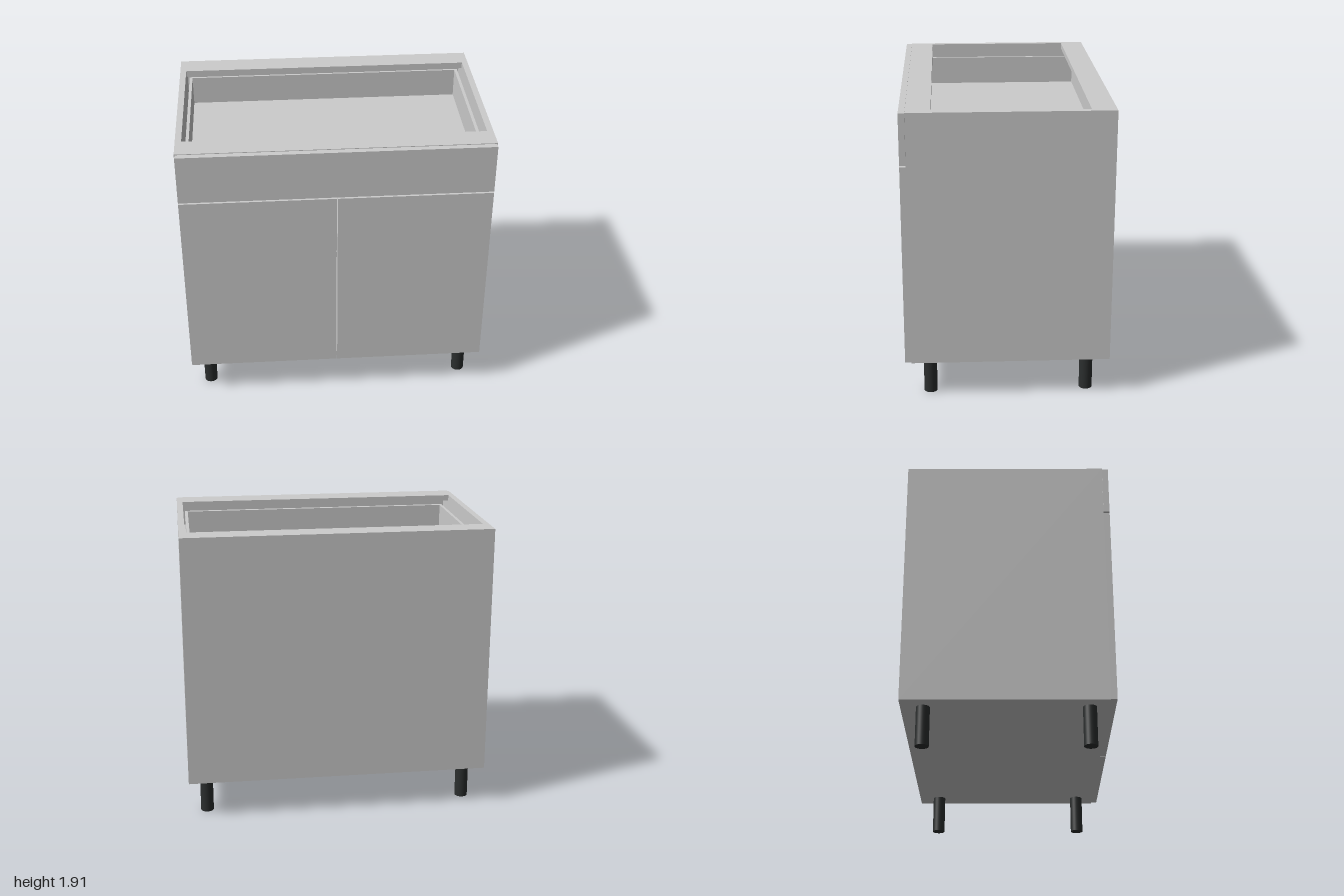
import * as THREE from 'three';

export function createModel() {
  const cabinet = new THREE.Group();
  cabinet.name = 'baseCabinet';
  const grey = new THREE.MeshStandardMaterial({ color: 0xcccccc });
  const black = new THREE.MeshStandardMaterial({ color: 0x2b2e2e });

  // Box panel given by its extents on each axis
  const panel = (name, [x0, x1], [y0, y1], [z0, z1]) => {
    const mesh = new THREE.Mesh(new THREE.BoxGeometry(x1 - x0, y1 - y0, z1 - z0), grey);
    mesh.position.set((x0 + x1) / 2, (y0 + y1) / 2, (z0 + z1) / 2);
    mesh.name = name;
    cabinet.add(mesh);
  };
  const mirrored = (name, [x0, x1], y, z) => {
    panel(name + 'Left', [x0, x1], y, z);
    panel(name + 'Right', [-x1, -x0], y, z);
  };

  const bottom = 0.255, top = 1.915, back = -0.66, front = 0.62, t = 0.04;
  const inner = [-1 + t, 1 - t];

  // Carcass
  mirrored('sidePanel', [1 - t, 1], [bottom, top], [back, front]);
  panel('bottomPanel', inner, [bottom, bottom + t], [back, front]);
  panel('backPanel', inner, [bottom + t, top - t], [back, back + t]);
  panel('backTopRail', inner, [top - t, top], [back, -0.505]);
  panel('frontTopRail', inner, [top - t, top], [0.465, front]);
  panel('shelf', inner, [1.06, 1.1], [back + t, 0.57]);

  // Doors and drawer front, with narrow gaps between them
  mirrored('door', [0.003, 0.995], [0.26, 1.575], [front, 0.66]);
  panel('drawerFront', [-0.995, 0.995], [1.585, 1.911], [front + 0.001, 0.66]);

  // Drawer box on its runners
  const drawerZ = [-0.6, 0.615];
  mirrored('drawerSide', [0.925, 0.945], [1.61, 1.82], drawerZ);
  mirrored('drawerRunner', [0.945, 0.955], [1.61, 1.72], drawerZ);
  panel('drawerFloor', [-0.925, 0.925], [1.61, 1.625], drawerZ);
  panel('drawerBack', [-0.925, 0.925], [1.625, 1.82], [-0.6, -0.585]);
  panel('drawerInnerFront', [-0.925, 0.925], [1.625, 1.82], [0.585, 0.615]);

  // Round legs
  const legGeometry = new THREE.CylinderGeometry(0.043, 0.043, bottom, 32);
  for (const x of [-0.88, 0.88]) {
    for (const z of [-0.52, 0.5]) {
      const leg = new THREE.Mesh(legGeometry, black);
      leg.position.set(x, bottom / 2, z);
      leg.name = 'leg';
      cabinet.add(leg);
    }
  }
  return cabinet;
}
